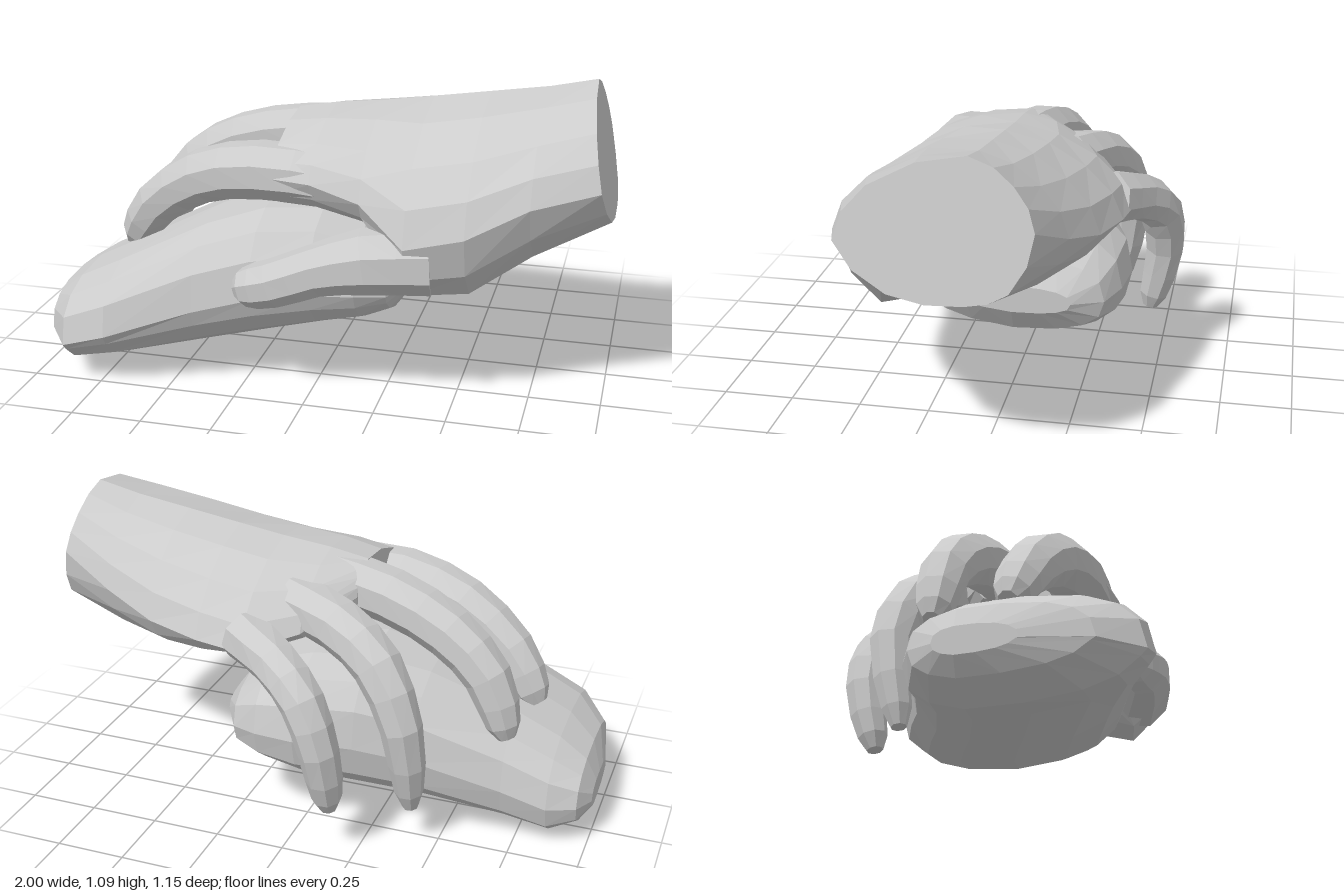
import * as THREE from 'three';

const V = (x, y, z) => new THREE.Vector3(x, y, z);
const { lerp } = THREE.MathUtils;

// Closed faceted skin through rings of equal point count, with fan caps at both ends
function loft(name, rings, material) {
  const tris = [];
  const n = rings[0].length;
  for (let i = 0; i < rings.length - 1; i++) {
    for (let j = 0; j < n; j++) {
      const k = (j + 1) % n;
      const a = rings[i][j], b = rings[i][k], c = rings[i + 1][k], d = rings[i + 1][j];
      tris.push([a, b, c], [a, c, d]);
    }
  }
  const cap = (ring, flip) => {
    const mid = ring.reduce((s, p) => s.add(p), V(0, 0, 0)).divideScalar(n);
    ring.forEach((p, j) => {
      const q = ring[(j + 1) % n];
      tris.push(flip ? [mid, q, p] : [mid, p, q]);
    });
  };
  cap(rings[0], true);
  cap(rings[rings.length - 1], false);
  // Turn every face outward
  const volume = tris.reduce((s, [a, b, c]) => s + a.dot(V(0, 0, 0).crossVectors(b, c)), 0);
  if (volume < 0) tris.forEach((t) => t.reverse());
  const geometry = new THREE.BufferGeometry().setFromPoints(tris.flat());
  geometry.computeVertexNormals();
  const mesh = new THREE.Mesh(geometry, material);
  mesh.name = name;
  return mesh;
}

// Finger: rings along a smooth path, joints given as [x, y, z, radius], rounded at the tip
function finger(name, joints, material) {
  const sides = 8;
  const curve = new THREE.CatmullRomCurve3(joints.map(([x, y, z]) => V(x, y, z)));
  const last = joints.length - 1;
  const steps = [0, 0.13, 0.27, 0.4, 0.52, 0.64, 0.76, 0.87, 0.95, 1];
  const rings = steps.map((t) => {
    const i = Math.min(Math.floor(t * last), last - 1);
    const rounding = t === 1 ? 0.5 : t > 0.9 ? 0.88 : 1;
    const r = lerp(joints[i][3], joints[i + 1][3], t * last - i) * rounding;
    const centre = curve.getPoint(t);
    const tangent = curve.getTangent(t);
    const up = V(0, 0, 1).cross(tangent).normalize();
    const side = tangent.clone().cross(up).normalize();
    return Array.from({ length: sides }, (_, j) => {
      const a = ((j + 0.5) / sides) * Math.PI * 2;
      return centre.clone().addScaledVector(up, r * Math.cos(a)).addScaledVector(side, r * Math.sin(a));
    });
  });
  return loft(name, rings, material);
}

// Sloping rounded body: stations [x, bottom, top, back z, front z]
function body(material) {
  const stations = [
    [-1.0, 0.12, 0.22, -0.06, 0.2],
    [-0.96, 0.06, 0.3, -0.14, 0.42],
    [-0.86, 0, 0.37, -0.18, 0.56],
    [-0.7, 0.03, 0.45, -0.2, 0.575],
    [-0.4, 0.09, 0.59, -0.27, 0.5],
    [-0.2, 0.13, 0.65, -0.34, 0.46],
    [0.0, 0.17, 0.65, -0.4, 0.42],
    [0.15, 0.2, 0.6, -0.38, 0.38],
    [0.25, 0.24, 0.52, -0.33, 0.32],
    [0.315, 0.33, 0.43, -0.22, 0.2],
  ];
  const sides = 16;
  const soft = (v) => Math.sign(v) * Math.pow(Math.abs(v), 0.78);
  const rings = stations.map(([x, y0, y1, z0, z1]) => {
    const waist = lerp(y0, y1, 0.45);
    return Array.from({ length: sides }, (_, j) => {
      const a = (j / sides) * Math.PI * 2;
      const c = soft(Math.cos(a)), s = soft(Math.sin(a));
      const z = (z0 + z1) / 2 + (c * (z1 - z0)) / 2;
      // The underside rises towards the front
      const tilt = s < 0 ? Math.max(0, z) * 0.1 : 0;
      return V(x, waist + s * (s > 0 ? y1 - waist : waist - y0) + tilt, z);
    });
  });
  return loft('restingBody', rings, material);
}

// Wrist and palm: each station gives the top, the thumb edge, the ball of the thumb,
// the hollow of the palm and the outer edge; shoulders and heel follow from these
function palm(material) {
  const stations = [
    { x: 1.0, top: 1.105, edge: [0.41, 0.83], ball: [0.24, 0.68], hollow: 0.66, outer: [-0.21, 0.89] },
    { x: 0.75, top: 1.07, edge: [0.48, 0.78], ball: [0.33, 0.57], hollow: 0.6, outer: [-0.28, 0.8] },
    { x: 0.55, top: 1.04, edge: [0.535, 0.68], ball: [0.39, 0.44], hollow: 0.58, outer: [-0.35, 0.74] },
    { x: 0.35, top: 1.01, edge: [0.54, 0.63], ball: [0.41, 0.42], hollow: 0.6, outer: [-0.4, 0.72] },
    { x: 0.18, top: 0.985, edge: [0.44, 0.74], ball: [0.33, 0.64], hollow: 0.65, outer: [-0.42, 0.71] },
    { x: 0.0, top: 0.965, edge: [0.4, 0.78], ball: [0.3, 0.67], hollow: 0.7, outer: [-0.31, 0.76] },
    { x: -0.14, top: 0.94, edge: [0.37, 0.78], ball: [0.28, 0.67], hollow: 0.74, outer: [-0.12, 0.84] },
  ];
  const rings = stations.map(({ x, top, edge, ball, hollow, outer }, i) => {
    const shoulder = ([z, y], out) => [z * out, lerp(y, top, 0.62)];
    const heel = [outer[0] * 0.65, lerp(hollow, outer[1], 0.2)];
    const outline = [[0, top], shoulder(edge, 0.75), edge, ball, [0, hollow], heel, outer, shoulder(outer, 0.68)];
    // The wrist is cut on a slant
    const points = outline.map(([z, y]) => V(i === 0 ? x - (y - 0.66) * 0.2 : x, y, z));
    return new THREE.CatmullRomCurve3(points, true).getPoints(16).slice(0, 16);
  });
  return loft('wristAndPalm', rings, material);
}

export function createModel() {
  const material = new THREE.MeshStandardMaterial({ color: 0xcccccc, flatShading: true });
  const model = new THREE.Group();
  model.name = 'handOnRoundedBody';
  model.add(body(material));

  const hand = new THREE.Group();
  hand.name = 'hand';
  hand.add(
    palm(material),
    finger('thumb', [[0.42, 0.56, 0.42, 0.12], [0.22, 0.55, 0.455, 0.115], [0.05, 0.51, 0.475, 0.09],
      [-0.1, 0.45, 0.48, 0.085], [-0.24, 0.41, 0.465, 0.075]], material),
    finger('indexFinger', [[0.05, 0.77, 0.29, 0.1], [-0.18, 0.78, 0.27, 0.105], [-0.42, 0.73, 0.22, 0.1],
      [-0.62, 0.6, 0.17, 0.09], [-0.75, 0.42, 0.125, 0.07]], material),
    finger('middleFinger', [[0, 0.86, 0, 0.1], [-0.22, 0.83, -0.03, 0.1], [-0.45, 0.75, -0.075, 0.095],
      [-0.61, 0.62, -0.11, 0.085], [-0.7, 0.4, -0.13, 0.065]], material),
    finger('ringFinger', [[0.08, 0.82, -0.17, 0.1], [-0.1, 0.79, -0.235, 0.095], [-0.27, 0.7, -0.305, 0.09],
      [-0.38, 0.5, -0.35, 0.075], [-0.41, 0.16, -0.305, 0.055]], material),
    finger('littleFinger', [[0.2, 0.74, -0.33, 0.095], [0.06, 0.7, -0.41, 0.085], [-0.07, 0.61, -0.485, 0.08],
      [-0.14, 0.44, -0.505, 0.072], [-0.16, 0.185, -0.455, 0.058]], material),
  );
  model.add(hand);
  return model;
}
